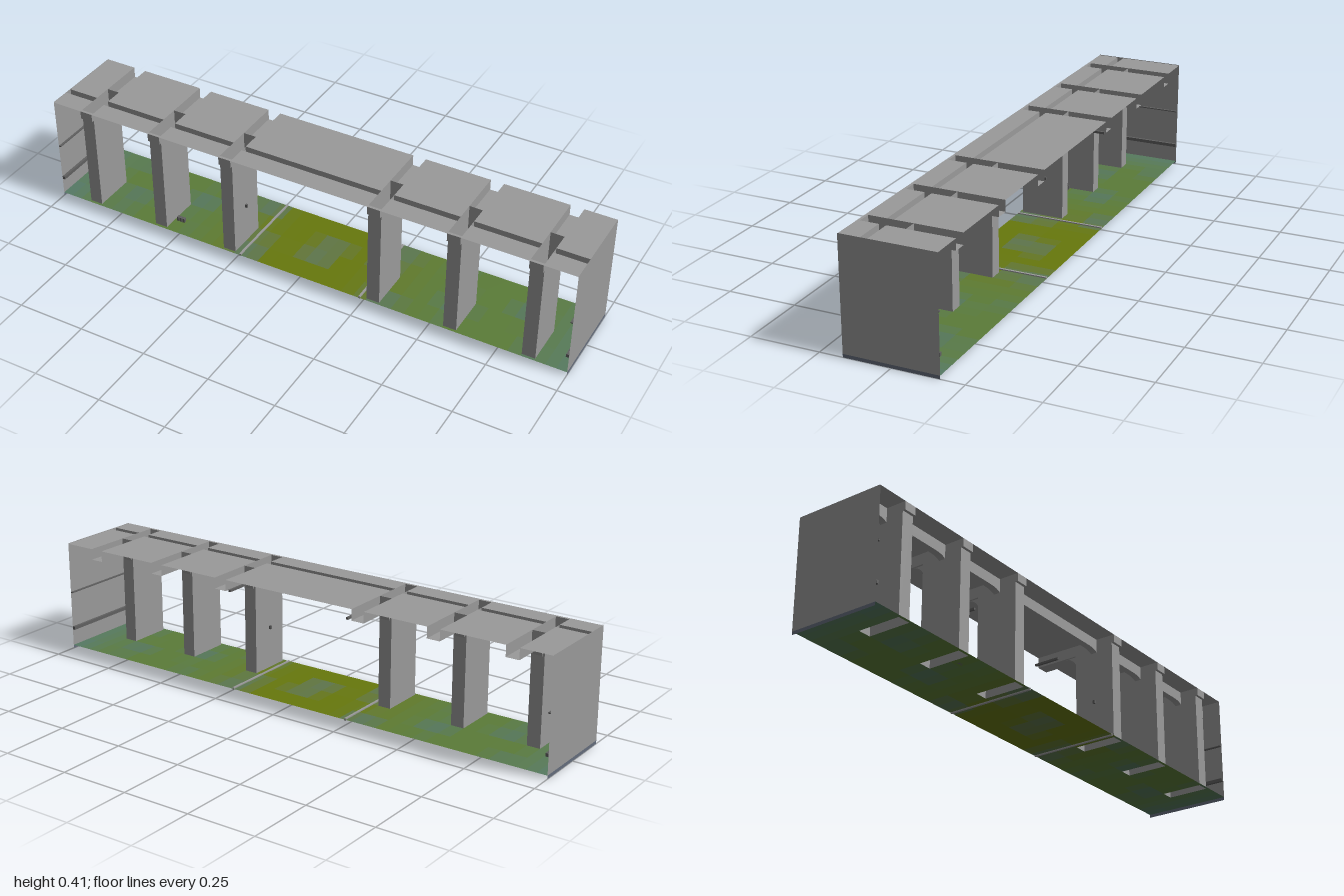
import * as THREE from 'three';

const TOP = 0.408, SOFFIT = 0.368, FLOOR = 0.012;
const BACK = -0.167, FRONT = 0.167;
const HALF = 0.024;                       // half width of a pillar
const PILLAR_BACK = 0, PILLAR_FRONT = 0.157;
const GROOVE_BACK = 0.067, GROOVE_FRONT = 0.092;
const PILLARS = [-0.86, -0.575, -0.286, 0.286, 0.575, 0.86];
const EDGES = [-1, ...PILLARS.flatMap((x) => [x - HALF, x + HALF]), 1];
const COURSES = [FLOOR, 0.092, 0.175, 0.259, 0.342, 0.41];

const sheetMaterial = (color) =>
  new THREE.MeshStandardMaterial({ color, side: THREE.DoubleSide });

// Mossy ground colour: olive in the middle, green outwards, bluish in patches
function groundColor(x, z) {
  const color = new THREE.Color(0x67780c);
  color.lerp(new THREE.Color(0x5b7c38), THREE.MathUtils.smoothstep(Math.abs(x), 0.12, 0.5));
  const patch = Math.sin(x * 17 + z * 9 + 1.3) * Math.cos(x * 7 - z * 14);
  color.lerp(new THREE.Color(0x4f7272), Math.max(0, patch) * 0.5);
  return color.lerp(new THREE.Color(0x547a70), THREE.MathUtils.smoothstep(Math.abs(x), 0.8, 1) * 0.6);
}

export function createModel() {
  const model = new THREE.Group();
  const stone = sheetMaterial(0x9a9a9a);
  const darkStone = sheetMaterial(0x606060);

  function add(parent, name, geometry, material = stone) {
    const mesh = new THREE.Mesh(geometry, material);
    mesh.name = name;
    parent.add(mesh);
    return mesh;
  }

  function section(name) {
    const group = new THREE.Group();
    group.name = name;
    model.add(group);
    return group;
  }

  // Flat rectangle between two corners that share one coordinate
  function panel(parent, name, [x0, y0, z0], [x1, y1, z1], material) {
    const w = x1 - x0, h = y1 - y0, d = z1 - z0;
    let g;
    if (w === 0) g = new THREE.PlaneGeometry(d, h).rotateY(Math.PI / 2);
    else if (h === 0) g = new THREE.PlaneGeometry(w, d).rotateX(-Math.PI / 2);
    else g = new THREE.PlaneGeometry(w, h);
    g.translate((x0 + x1) / 2, (y0 + y1) / 2, (z0 + z1) / 2);
    return add(parent, name, g, material);
  }

  function box(parent, name, size, position, material) {
    const mesh = add(parent, name, new THREE.BoxGeometry(...size), material);
    mesh.position.set(...position);
    return mesh;
  }

  // Concave bracket: corner at the origin, reaching along +x and down
  function bracketGeometry(reach, drop, thickness) {
    const s = new THREE.Shape();
    s.moveTo(0, 0);
    s.lineTo(0, -drop);
    s.quadraticCurveTo(reach * 0.3, 0, reach, 0);
    s.closePath();
    return new THREE.ExtrudeGeometry(s, { depth: thickness, bevelEnabled: false, curveSegments: 6 })
      .translate(0, 0, -thickness / 2);
  }

  // Ground patches, left open beneath the hollow pillars
  const floor = section('floor');
  for (let i = 0; i < EDGES.length - 1; i++) {
    const underPillar = i % 2 === 1;
    const span = EDGES[i + 1] - EDGES[i];
    const count = underPillar ? 1 : Math.ceil(span / 0.05);
    const rows = underPillar
      ? [[BACK, -0.084], [-0.084, PILLAR_BACK], [PILLAR_FRONT, FRONT]]
      : [[BACK, -0.084], [-0.084, 0], [0, 0.084], [0.084, FRONT]];
    for (let k = 0; k < count; k++) {
      const x0 = EDGES[i] + (span * k) / count, x1 = EDGES[i] + (span * (k + 1)) / count;
      for (const [z0, z1] of rows)
        panel(floor, 'groundPatch', [x0, FLOOR, z0], [x1, FLOOR, z1],
          sheetMaterial(groundColor((x0 + x1) / 2, (z0 + z1) / 2)));
    }
  }

  // End walls in five courses, each with a floor skirt and rails inside
  for (const side of [-1, 1]) {
    const wall = section(side > 0 ? 'leftEndWall' : 'rightEndWall');
    for (let i = 0; i < 5; i++)
      panel(wall, 'wallCourse', [side, COURSES[i], BACK], [side, COURSES[i + 1], FRONT]);
    panel(wall, 'floorSkirt', [side, 0, BACK], [side, FLOOR, FRONT], sheetMaterial(0x646d7c));
    box(wall, 'lowerRail', [0.01, 0.012, FRONT - BACK], [side * 0.994, 0.08, 0], darkStone);
    box(wall, 'upperRail', [0.008, 0.004, FRONT - BACK], [side * 0.995, 0.22, 0], darkStone);
  }

  // Hollow pillars, with capital and bracket under the cross beam
  for (const x of PILLARS) {
    const pillar = section('pillar');
    const l = x - HALF, r = x + HALF;
    panel(pillar, 'pillarFront', [l, FLOOR, PILLAR_FRONT], [r, TOP, PILLAR_FRONT]);
    for (let i = 0; i < 5; i++) {
      const a = COURSES[i], b = Math.min(COURSES[i + 1], TOP);
      panel(pillar, 'pillarBack', [l, a, PILLAR_BACK], [r, b, PILLAR_BACK]);
      for (const sx of [l, r])
        panel(pillar, 'pillarSide', [sx, a, PILLAR_BACK], [sx, b, PILLAR_FRONT]);
    }
    box(pillar, 'capital', [HALF * 2, 0.03, FRONT - PILLAR_FRONT],
      [x, TOP - 0.015, (FRONT + PILLAR_FRONT) / 2]);
    const bracket = add(pillar, 'pillarBracket', bracketGeometry(0.05, 0.04, 0.034));
    bracket.rotation.y = Math.PI / 2;
    bracket.position.set(x, SOFFIT, PILLAR_BACK);

    // Cross beam: a channel open on top
    const beam = section('crossBeam');
    panel(beam, 'beamSoffit', [l, SOFFIT, BACK], [r, SOFFIT, PILLAR_BACK]);
    for (const sx of [l, r])
      panel(beam, 'beamSide', [sx, SOFFIT, BACK], [sx, TOP, PILLAR_BACK]);
  }

  // Ceiling bays: back slab, long channel beam, front slab, small arch brackets
  for (let i = 0; i < EDGES.length; i += 2) {
    const l = EDGES[i], r = EDGES[i + 1];
    const bay = section('ceilingBay');
    panel(bay, 'backSlab', [l, TOP, BACK], [r, TOP, GROOVE_BACK]);
    panel(bay, 'frontSlab', [l, TOP, GROOVE_FRONT], [r, TOP, FRONT]);
    panel(bay, 'longBeamSoffit', [l, SOFFIT, GROOVE_BACK], [r, SOFFIT, GROOVE_FRONT]);
    for (const z of [GROOVE_BACK, GROOVE_FRONT])
      panel(bay, 'longBeamSide', [l, SOFFIT, z], [r, TOP, z]);
    for (const [x, turn] of [[l, 0], [r, Math.PI]]) {
      const arch = add(bay, 'archBracket', bracketGeometry(0.05, 0.011, GROOVE_FRONT - GROOVE_BACK));
      arch.rotation.y = turn;
      arch.position.set(x, SOFFIT, (GROOVE_BACK + GROOVE_FRONT) / 2);
    }
  }

  // Thin rods beside the central bay and a small heap of blocks
  const details = section('looseDetails');
  for (const side of [-1, 1]) {
    box(details, 'floorRod', [0.008, 0.008, 0.33], [side * 0.238, 0.012, 0]);
    box(details, 'ceilingRod', [0.008, 0.008, 0.1], [side * 0.245, 0.372, -0.117], darkStone);
    box(details, 'pillarHook', [0.008, 0.012, 0.008], [side * 0.258, 0.165, 0.08], darkStone);
  }
  for (let i = 0; i < 3; i++)
    box(details, 'smallBlock', [0.008, 0.016, 0.012], [-0.538 + i * 0.012, 0.02, 0.1], darkStone);

  return model;
}
